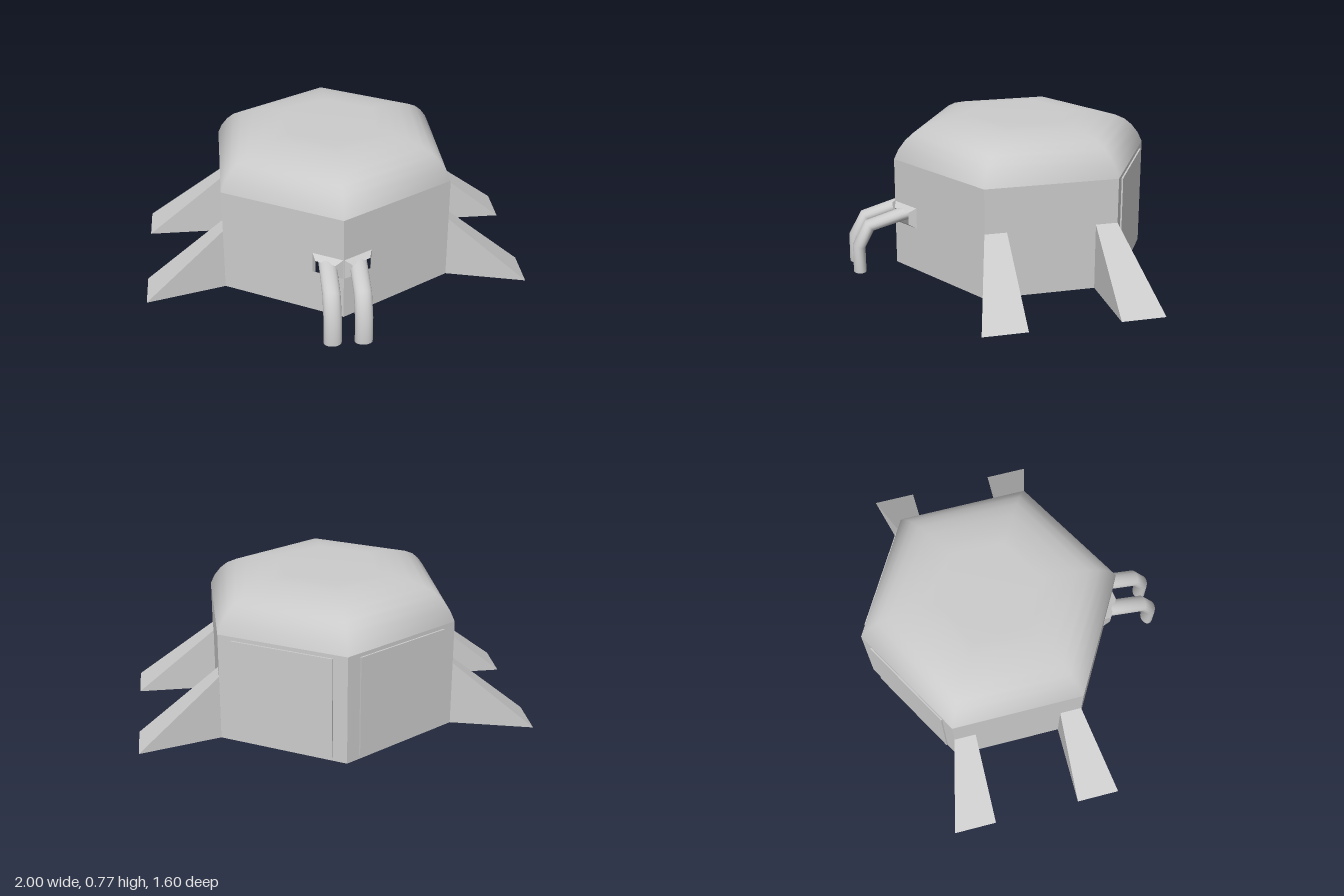
import * as THREE from 'three';

const R = 0.68;                       // hexagon corner radius (= side length)
const APOTHEM = R * Math.cos(Math.PI / 6);
const WALL = 0.57;                    // wall height

const smooth = new THREE.MeshStandardMaterial({ color: 0xcccccc, side: THREE.DoubleSide });
const flat = new THREE.MeshStandardMaterial({ color: 0xcccccc, side: THREE.DoubleSide, flatShading: true });

function add(parent, name, geometry, material = flat) {
  const mesh = new THREE.Mesh(geometry, material);
  mesh.name = name;
  parent.add(mesh);
  return mesh;
}

// Joins closed rings of [x, y, z] points, listed clockwise along the path
function loft(rings) {
  const n = rings[0].length;
  const index = [];
  for (let i = 0; i < rings.length - 1; i++) {
    for (let j = 0; j < n; j++) {
      const k = (j + 1) % n;
      const a = i * n + j, b = i * n + k, c = b + n, d = a + n;
      index.push(a, d, c, a, c, b);
    }
  }
  const geometry = new THREE.BufferGeometry();
  geometry.setAttribute('position', new THREE.Float32BufferAttribute(rings.flat(2), 3));
  geometry.setIndex(index);
  geometry.computeVertexNormals();
  return geometry;
}

// Rectangle ring on a wall
function rectRing(cx, cy, hw, hh, z) {
  return [[cx - hw, cy - hh, z], [cx - hw, cy + hh, z], [cx + hw, cy + hh, z], [cx + hw, cy - hh, z]];
}

function createWalls(body) {
  for (let k = 0; k < 6; k++) {
    const side = new THREE.Group();
    side.name = 'wallSide';
    side.rotation.y = Math.PI / 6 + k * Math.PI / 3;
    body.add(side);

    const shape = new THREE.Shape([[-R / 2, 0], [R / 2, 0], [R / 2, WALL], [-R / 2, WALL]]
      .map(p => new THREE.Vector2(...p)));

    // The two front walls have a port beside the front corner
    if (k === 0 || k === 5) {
      const cx = (k === 0 ? -1 : 1) * (R / 2 - 0.087);
      const base = rectRing(cx, 0.287, 0.084, 0.055, 0);
      shape.holes.push(new THREE.Path(base.map(p => new THREE.Vector2(p[0], p[1]))));
      const flange = loft([base, rectRing(cx, 0.287, 0.055, 0.032, 0.03)]);
      add(side, 'portFlange', flange).position.z = APOTHEM;
    }
    add(side, 'wall', new THREE.ShapeGeometry(shape)).position.z = APOTHEM;

    // The two back walls carry a thin panel
    if (k === 2 || k === 3) {
      const panel = add(side, 'backPanel', new THREE.BoxGeometry(0.53, 0.53, 0.008));
      panel.position.set(0, 0.285, APOTHEM + 0.004);
    }
  }
}

function createRoof(body) {
  const profile = [[1, 0.57], [0.965, 0.62], [0.91, 0.668], [0.85, 0.703], [0.77, 0.73],
    [0.66, 0.752], [0.53, 0.767], [0.4, 0.775], [0, 0.775]]
    .map(([s, y]) => new THREE.Vector2(s * R, y));
  add(body, 'domedRoof', new THREE.LatheGeometry(profile, 6), smooth);
}

// Wedge buttress that widens outward toward the ground
function createButtresses(body) {
  const wedge = loft([
    [[0.589, 0, 0.227], [0.589, 0, 0.34], [0.589, 0.34, 0.34], [0.589, 0.34, 0.227]],
    [[1, 0, 0.227], [1, 0, 0.452], [1, 0, 0.452], [1, 0, 0.227]],
  ]);
  for (const sx of [1, -1]) {
    for (const sz of [1, -1]) add(body, 'buttress', wedge).scale.set(sx, 1, sz);
  }
}

// Oval pipes leaving the ports and bending down to the ground
function createPipes(body) {
  // Each station: z, y, and the tilt of the cross-section
  const stations = [[0.887, 0, 0], [0.887, 0.14, 0.26], [0.83, 0.246, 0.9], [0.665, 0.292, 1.3], [0.605, 0.305, 1.35]];
  const sides = 16;
  const rings = stations.map(([z, y, tilt]) => Array.from({ length: sides }, (_, i) => {
    const a = i / sides * Math.PI * 2;
    const off = 0.033 * Math.sin(a);
    return [0.045 * Math.cos(a), y + off * Math.sin(tilt), z + off * Math.cos(tilt)];
  }));
  const pipe = loft(rings);
  for (const s of [1, -1]) add(body, 'pipe', pipe, smooth).position.x = s * 0.077;
}

export function createModel() {
  const model = new THREE.Group();
  model.name = 'hexagonalShelter';
  const body = new THREE.Group();
  body.name = 'body';
  body.position.z = -0.12;
  model.add(body);
  createWalls(body);
  createRoof(body);
  createButtresses(body);
  createPipes(body);
  return model;
}
